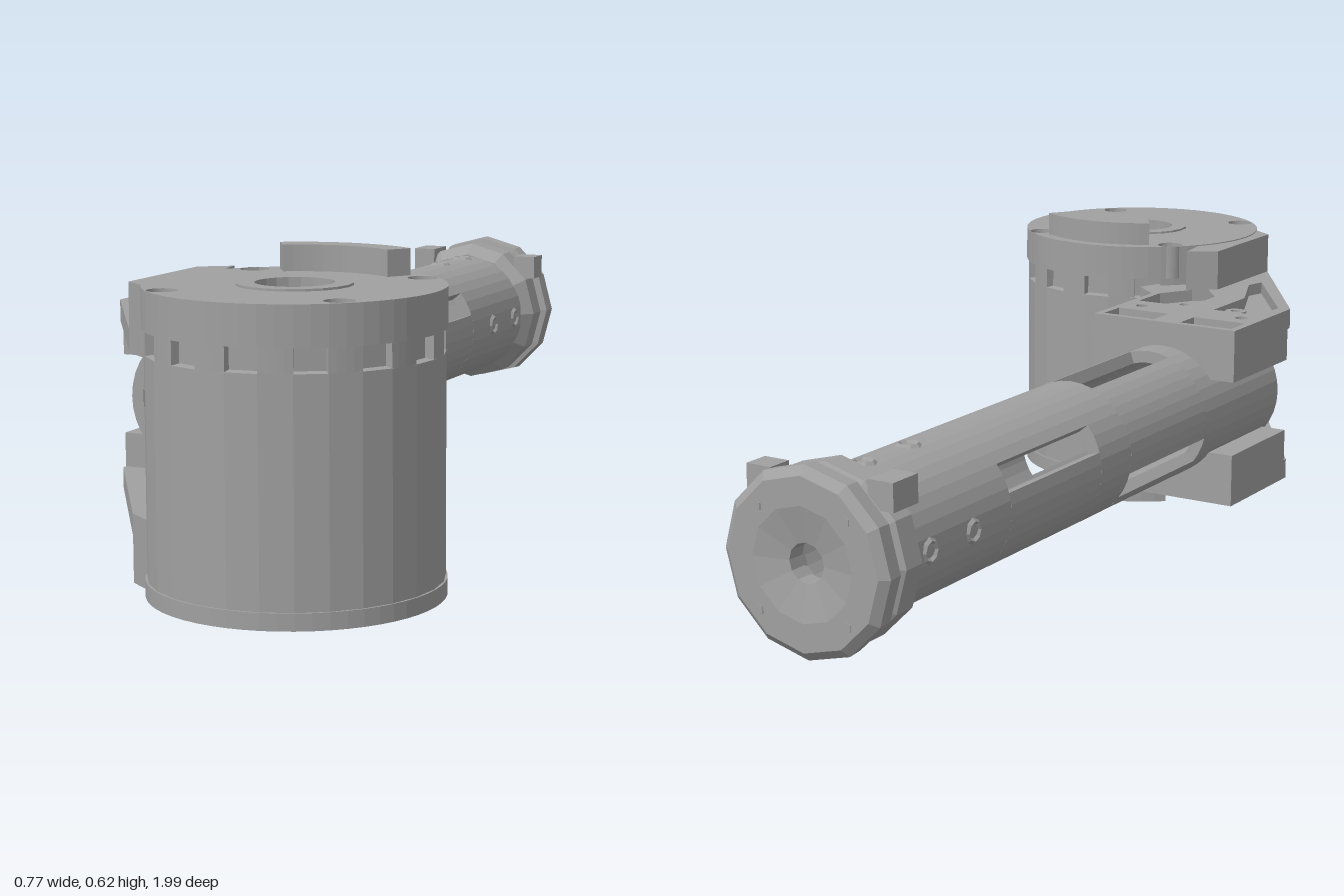
import * as THREE from 'three';

const MID = 0.315;            // height of the tube axis and mirror plane
const TX = -0.215;            // tube axis x
const MX = 0.127, MZ = 0.732; // motor axis
const RAD = Math.PI / 180;

export function createModel() {
  const root = new THREE.Group();
  root.name = 'motorArm';
  const grey = new THREE.MeshStandardMaterial({ color: 0xa0a0a0, flatShading: true, side: THREE.DoubleSide });
  grey.name = 'plainGrey';

  const add = (name, geo, parent = root) => {
    const m = new THREE.Mesh(geo, grey);
    m.name = name;
    parent.add(m);
    return m;
  };
  const group = (name) => {
    const g = new THREE.Group();
    g.name = name;
    root.add(g);
    return g;
  };
  // Outline from [x, z] points
  const outline = (pts, C = THREE.Shape) => new C(pts.map(([x, z]) => new THREE.Vector2(x, -z)));
  const circle = (x, z, r, C = THREE.Path) => new C().absarc(x, -z, r, 0, Math.PI * 2, false);
  // Horizontal slab between two heights
  const slab = (shape, y0, y1, seg = 12) => {
    const g = new THREE.ExtrudeGeometry(shape, { depth: Math.abs(y1 - y0), bevelEnabled: false, curveSegments: seg });
    return g.rotateX(-Math.PI / 2).translate(0, Math.min(y0, y1), 0);
  };
  // Ring sector; angles in degrees
  const sector = (cx, cy, r0, r1, a0, a1) => {
    const s = new THREE.Shape();
    s.absarc(cx, cy, r1, a0 * RAD, a1 * RAD, false);
    s.absarc(cx, cy, r0, a1 * RAD, a0 * RAD, true);
    s.closePath();
    return s;
  };
  const lathe = (pts, seg) => new THREE.LatheGeometry(pts.map(([r, y]) => new THREE.Vector2(r, y)), seg);

  // Motor: can, groove and lower rim with a recessed underside
  const motor = group('motor');
  add('motorCan', lathe([
    [0, 0.085], [0.09, 0.085], [0.09, 0.06], [0.13, 0.06], [0.14, 0.085], [0.2, 0.075], [0.215, 0.05], [0.25, 0.05],
    [0.258, 0.072], [0.255, 0.08], [0.255, 0.468], [0.238, 0.47], [0.238, 0.512], [0, 0.512],
  ], 28).translate(MX, 0, MZ), motor);
  for (let i = 0; i < 14; i++) {
    const a = i * 360 / 14;
    add('grooveTooth', slab(sector(MX, -MZ, 0.235, 0.254, a, a + 13), 0.468, 0.512, 2), motor);
  }

  // Motor cap with shaft opening and four screw pockets
  const cap = circle(MX, MZ, 0.258, THREE.Shape);
  cap.holes.push(circle(MX, MZ, 0.085));
  const screws = [[-0.037, 0.563], [0.287, 0.563], [-0.037, 0.893], [0.287, 0.893]];
  screws.forEach(([x, z]) => cap.holes.push(circle(x, z, 0.026)));
  add('motorCap', slab(cap, 0.51, 0.58, 28), motor);
  for (const [x, z] of screws) {
    add('capScrew', new THREE.CylinderGeometry(0.018, 0.018, 0.045, 6).translate(x, 0.533, z), motor);
  }
  const collar = circle(MX, MZ, 0.1, THREE.Shape);
  collar.holes.push(circle(MX, MZ, 0.068));
  add('shaftCollar', slab(collar, 0.53, 0.584, 10), motor);
  add('shaftFloor', new THREE.CylinderGeometry(0.075, 0.075, 0.02, 16).translate(MX, 0.545, MZ), motor);

  // Curved tabs on top of and below the motor
  add('upperTab', slab(sector(MX, -MZ, 0.185, 0.232, 57, 123), 0.575, 0.627, 6), motor);
  add('lowerTab', slab(sector(MX, -MZ, 0.175, 0.232, 57, 134), 0.003, 0.06, 6), motor);

  // Bracket halves, mirrored about the tube axis
  for (const s of [1, -1]) {
    const bracket = group(s > 0 ? 'upperBracket' : 'lowerBracket');
    const Y = (d) => MID + s * d;
    const edge = [[-0.375, 0.21], [-0.055, 0.21], [-0.055, 0.45], [0, 0.5], [-0.08, 0.7], [-0.155, 0.8], [-0.375, 0.46]];
    add('bracketFloor', slab(outline(edge), Y(0.14), Y(0.156)), bracket);
    const top = outline(edge);
    // Pockets left between the ribs and the rim
    const pockets = [
      [[-0.36, 0.225], [-0.245, 0.225], [-0.245, 0.285], [-0.36, 0.285]],
      [[-0.185, 0.225], [-0.07, 0.225], [-0.07, 0.285], [-0.185, 0.285]],
      [[-0.35, 0.37], [-0.245, 0.37], [-0.245, 0.51], [-0.19, 0.64], [-0.2, 0.68], [-0.35, 0.455]],
      [[-0.185, 0.37], [-0.07, 0.37], [-0.07, 0.46], [-0.13, 0.56], [-0.185, 0.49]],
    ];
    pockets.forEach((p) => top.holes.push(outline(p, THREE.Path)));
    for (const x of [-0.33, -0.1]) top.holes.push(circle(x, 0.328, 0.013));
    add('bracketRibs', slab(top, Y(0.156), Y(0.18), 6), bracket);
    for (const x of [-0.275, -0.155]) {
      const boss = circle(x, 0.41, 0.022, THREE.Shape);
      boss.holes.push(circle(x, 0.41, 0.01));
      add('screwBoss', slab(boss, Y(0.156), Y(0.174), 6), bracket);
    }

    // Step joining the plate to the motor
    add('bracketStep', slab(outline([[-0.155, 0.56], [-0.155, 0.8], [-0.1, 0.84], [-0.085, 0.62], [-0.1, 0.52]]),
      Y(0.14), Y(0.263)), bracket);

    // Saddle cut to fit the tube
    const saddle = new THREE.Shape();
    const a = Math.asin(0.075 / 0.13);
    saddle.moveTo(-0.375, Y(0.145));
    saddle.lineTo(-0.375, Y(0.075));
    saddle.absarc(TX, MID, 0.13, s * (Math.PI - a), s * a, s > 0);
    saddle.lineTo(-0.055, Y(0.075));
    saddle.lineTo(-0.055, Y(0.145));
    saddle.closePath();
    add('tubeSaddle', new THREE.ExtrudeGeometry(saddle, { depth: 0.24, bevelEnabled: false, curveSegments: 10 })
      .translate(0, 0, 0.21), bracket);
  }

  // Base flange of the motor, joined to the lower bracket
  const base = circle(MX, MZ, 0.258, THREE.Shape);
  base.holes.push(circle(MX, MZ, 0.2));
  add('baseRing', slab(base, 0.05, 0.08, 28), motor);

  // Hollow tube: each length lists the arcs of wall left between its windows
  const tube = group('tube');
  const lengths = [
    [0.15, 0.47, [[-90, 90], [90, 270]]],
    [-0.15, 0.15, [[-13, 72], [110, 193], [217, 323]]],
    [-0.26, -0.15, [[-90, 90], [90, 270]]],
    [-0.57, -0.26, [[40, 140], [164, 376]]],
    [-0.89, -0.57, [[-90, 90], [90, 270]]],
  ];
  for (const [z0, z1, arcs] of lengths) {
    for (const [a0, a1] of arcs) {
      const g = new THREE.ExtrudeGeometry(sector(TX, MID, 0.108, 0.132, a0, a1),
        { depth: z1 - z0, bevelEnabled: false, curveSegments: Math.ceil((a1 - a0) / 20) });
      add('tubeWall', g.translate(0, 0, z0), tube);
    }
  }

  // Small screws around the far end of the tube
  for (let q = 0; q < 4; q++) {
    for (const z of [-0.69, -0.82]) {
      const pivot = new THREE.Group();
      pivot.name = 'tubeScrew';
      pivot.position.set(TX, MID, z);
      pivot.rotation.z = q * Math.PI / 2;
      add('screwRing', new THREE.TorusGeometry(0.018, 0.006, 4, 8).rotateX(Math.PI / 2).translate(0, 0.13, 0), pivot);
      tube.add(pivot);
    }
  }

  // End flange: collar, narrow neck and outer disc with a small bore
  const end = group('endFlange');
  add('flangeBody', lathe([
    [0.108, 0.86], [0.135, 0.86], [0.158, 0.885], [0.158, 0.93], [0.142, 0.94], [0.142, 0.95], [0.164, 0.955],
    [0.166, 0.985], [0.15, 0.998], [0.1, 0.998], [0.035, 0.985], [0.035, 0.95], [0.108, 0.945], [0.108, 0.86],
  ], 12).rotateX(-Math.PI / 2).translate(TX - 0.003, MID + 0.002, 0), end);
  add('flangeEar', new THREE.BoxGeometry(0.05, 0.05, 0.07).translate(-0.33, 0.435, -0.9), end);
  add('flangeEar', new THREE.BoxGeometry(0.05, 0.05, 0.05).translate(-0.085, 0.425, -0.91), end);
  for (let i = 0; i < 4; i++) {
    const a = (45 + i * 90) * RAD;
    add('flangeScrew', new THREE.CylinderGeometry(0.012, 0.012, 0.01, 6).rotateX(Math.PI / 2)
      .translate(TX + 0.125 * Math.cos(a), MID + 0.125 * Math.sin(a), -0.995), end);
  }
  return root;
}
